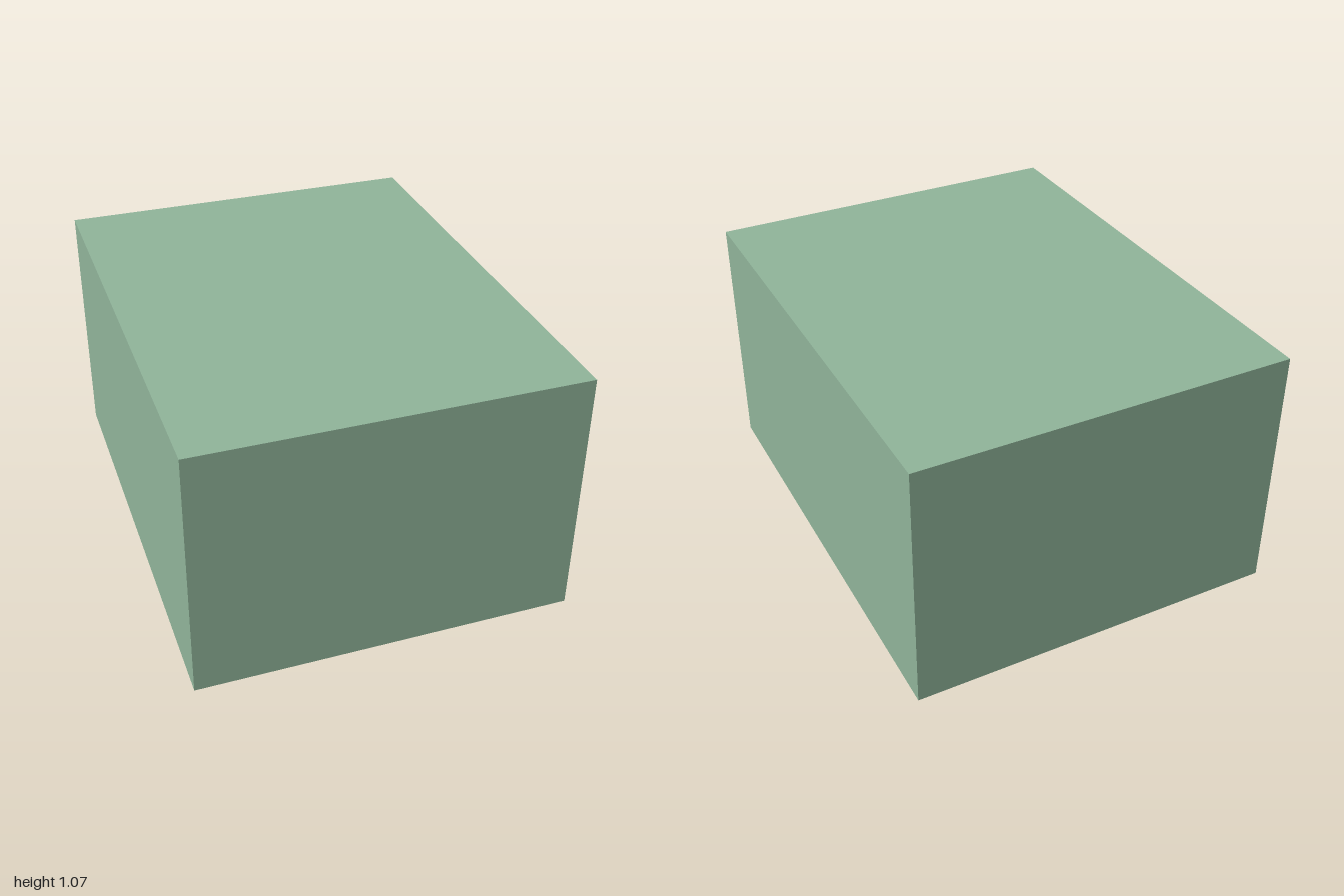
import * as THREE from 'three';

const W = 1.57, H = 1.07, D = 2;
const AXIS_Y = 0.265;             // height of the cavity axis above the underside
const R = 0.49;                   // bore radius
const BACK = -0.86, SHOULDER = -0.08;
const STEPS = 13, STEP = R / STEPS;

// Half angle of the part of a ring cut away by the underside
const cutAngle = r => (r > AXIS_Y ? Math.acos(AXIS_Y / r) : 0);
const halfWidth = r => Math.sqrt(Math.max(0, r * r - AXIS_Y * AXIS_Y));

// Disc or ring around the cavity axis, clipped at the underside
function clippedRing(outer, inner = 0) {
  const shape = new THREE.Shape();
  const a = cutAngle(outer), b = cutAngle(inner);
  shape.absarc(0, AXIS_Y, outer, -Math.PI / 2 + a, Math.PI * 1.5 - a, false);
  if (b > 0) {
    shape.absarc(0, AXIS_Y, inner, Math.PI * 1.5 - b, -Math.PI / 2 + b, true);
  } else if (inner > 0) {
    shape.holes.push(new THREE.Path().absarc(0, AXIS_Y, inner, 0, Math.PI * 2, true));
  }
  return new THREE.ShapeGeometry(shape, 64);
}

// Inner wall of the cavity between two depths
function bore(r, z0, z1) {
  const a = cutAngle(r);
  return new THREE.CylinderGeometry(r, r, z1 - z0, 64, 1, true, a, Math.PI * 2 - 2 * a)
    .rotateX(Math.PI / 2)
    .translate(0, AXIS_Y, (z0 + z1) / 2);
}

export function createModel() {
  const group = new THREE.Group();
  const color = 0x8fb399;
  const solid = new THREE.MeshStandardMaterial({ color });
  const thin = new THREE.MeshStandardMaterial({ color, side: THREE.DoubleSide });
  const add = (name, geometry, material = thin) => {
    const mesh = new THREE.Mesh(geometry, material);
    mesh.name = name;
    group.add(mesh);
    return mesh;
  };

  // Block walls and top: a box without its bottom face
  const box = new THREE.BoxGeometry(W, H, D).translate(0, H / 2, 0);
  box.setIndex(Array.from(box.index.array).filter((_, i) => i < 18 || i >= 24));
  box.clearGroups();
  add('blockWalls', box, solid);

  // Cavity sections: a long bore, then a stepped cone
  const sections = [{ r: R, z0: BACK, z1: SHOULDER }];
  for (let k = 1; k < STEPS; k++) {
    const z0 = sections[k - 1].z1;
    sections.push({ r: R - k * STEP, z0, z1: z0 + STEP });
  }

  // Underside with the stepped opening
  const side = [];
  for (const { r, z0, z1 } of sections) {
    if (r <= AXIS_Y) break;
    side.push([halfWidth(r), z0], [halfWidth(r), z1]);
  }
  const outline = [
    ...side.map(([x, z]) => new THREE.Vector2(x, z)),
    ...side.reverse().map(([x, z]) => new THREE.Vector2(-x, z)),
  ];
  const base = new THREE.Shape([
    new THREE.Vector2(-W / 2, -D / 2), new THREE.Vector2(W / 2, -D / 2),
    new THREE.Vector2(W / 2, D / 2), new THREE.Vector2(-W / 2, D / 2),
  ]);
  base.holes.push(new THREE.Path(outline));
  add('underside', new THREE.ShapeGeometry(base).rotateX(Math.PI / 2), solid);

  // Cavity walls and the ledges between steps
  add('cavityBackWall', clippedRing(R)).position.z = BACK;
  sections.forEach(({ r, z0, z1 }, k) => {
    add(k ? 'coneStep' : 'cavityBore', bore(r, z0, z1));
    const next = sections[k + 1];
    add(next ? 'coneLedge' : 'coneTip', clippedRing(r, next ? next.r : 0)).position.z = z1;
  });

  return group;
}
